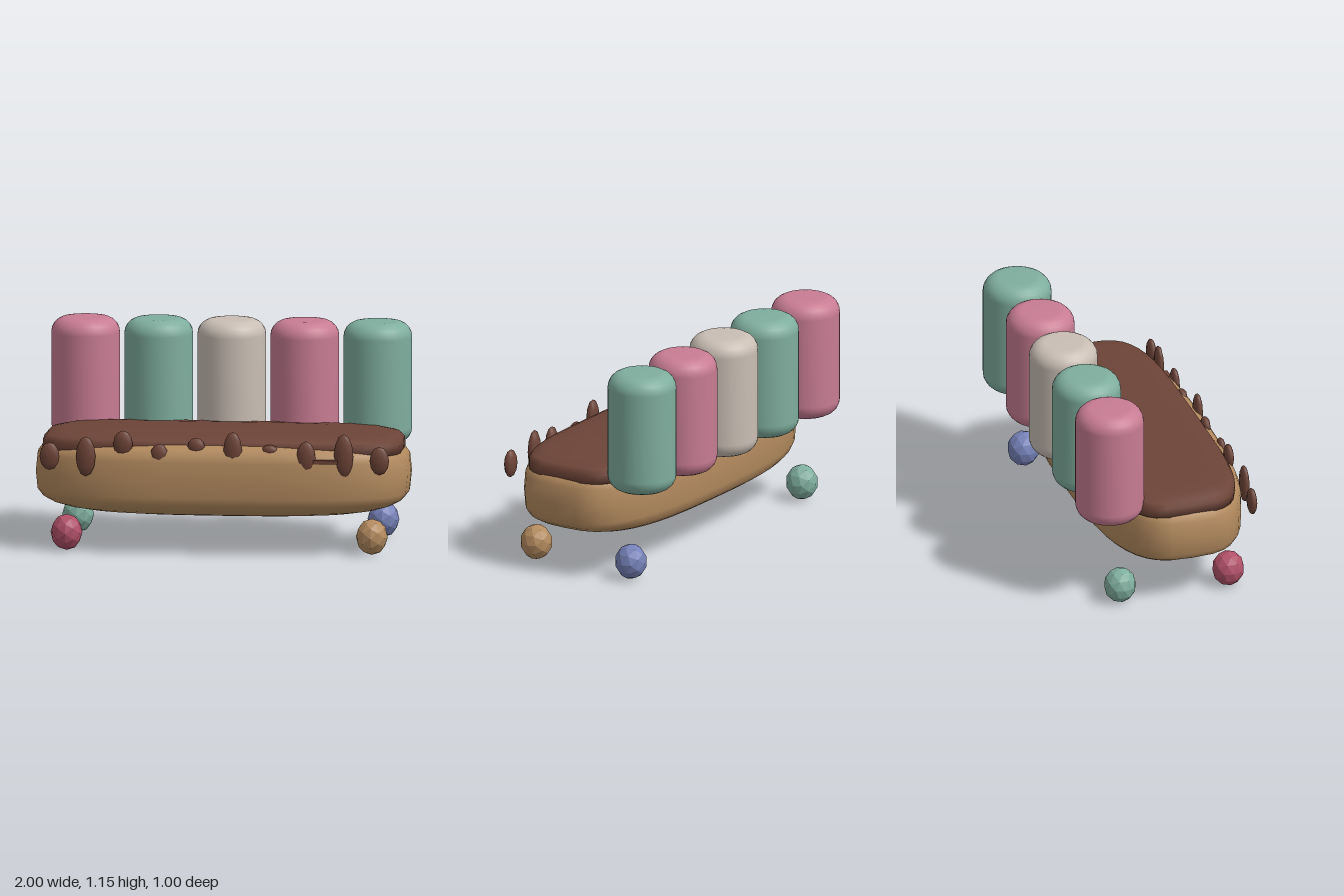
import * as THREE from 'three';

const mat = (name, color) => {
  const m = new THREE.MeshStandardMaterial({ color });
  m.name = name;
  return m;
};

// Superellipse rings [y, halfX, halfZ], bottom to top, skinned into one surface
function loft(rings, n, seg = 40) {
  const pos = [], idx = [];
  const pw = (v) => Math.sign(v) * Math.abs(v) ** (2 / n);
  rings.forEach(([y, rx, rz]) => {
    for (let j = 0; j < seg; j++) {
      const a = (j / seg) * Math.PI * 2;
      pos.push(rx * pw(Math.cos(a)), y, rz * pw(Math.sin(a)));
    }
  });
  for (let i = 0; i < rings.length - 1; i++) {
    for (let j = 0; j < seg; j++) {
      const k = (j + 1) % seg;
      const a = i * seg + j, b = i * seg + k, c = a + seg, d = b + seg;
      idx.push(a, c, b, b, c, d);
    }
  }
  const g = new THREE.BufferGeometry();
  g.setAttribute('position', new THREE.Float32BufferAttribute(pos, 3));
  g.setIndex(idx);
  g.computeVertexNormals();
  return g;
}

export function createModel() {
  const group = new THREE.Group();
  const pastry = mat('pastry tan', 0xb48b5f);
  const chocolate = mat('chocolate', 0x6d4438);
  const pink = mat('pink', 0xc87c93);
  const green = mat('mint green', 0x7fae9e);
  const cream = mat('cream', 0xc9beb4);
  const red = mat('berry red', 0xb05068);
  const blue = mat('blue', 0x7682b8);

  const add = (name, geo, material, x = 0, y = 0, z = 0) => {
    const m = new THREE.Mesh(geo, material);
    m.name = name;
    m.position.set(x, y, z);
    group.add(m);
    return m;
  };

  // Pastry seat: squarish puffed loaf
  const seatRings = [];
  for (let i = 0; i <= 16; i++) {
    const t = (i / 16 - 0.5) * Math.PI;
    const s = Math.sin(t);
    const r = Math.sqrt(Math.max(0, Math.cos(t)));
    seatRings.push([0.405 + 0.215 * Math.sign(s) * Math.sqrt(Math.abs(s)), r, 0.41 * r]);
  }
  add('seat', loft(seatRings, 3), pastry, 0, 0, 0.09);

  // Chocolate glaze over the seat
  add('glaze', loft([
    [0.52, 0.9, 0.3], [0.53, 0.962, 0.345], [0.58, 0.957, 0.35], [0.605, 0.935, 0.335],
    [0.622, 0.86, 0.295], [0.63, 0.65, 0.2], [0.633, 0, 0],
  ], 4), chocolate, 0, 0, 0.083);

  // Backrest: five rounded sweets
  const profile = [new THREE.Vector2(0, 0)];
  for (let i = 0; i <= 5; i++) {
    const a = (i / 5) * Math.PI / 2;
    profile.push(new THREE.Vector2(0.1 + 0.083 * Math.sin(a), 0.083 - 0.083 * Math.cos(a)));
  }
  for (let i = 5; i >= 0; i--) {
    const a = (i / 5) * Math.PI / 2;
    profile.push(new THREE.Vector2(0.1 + 0.083 * Math.sin(a), 0.567 + 0.083 * Math.cos(a)));
  }
  profile.push(new THREE.Vector2(0, 0.65));
  const roll = new THREE.LatheGeometry(profile, 32);
  [pink, green, cream, pink, green].forEach((m, i) =>
    add('backRoll' + (i + 1), roll, m, (i - 2) * 0.39, 0.503, -0.317));

  // Chocolate drips along the front: x, y, half width, half height
  const drop = new THREE.SphereGeometry(1, 8, 6);
  [
    [-0.895, 0.52, 0.053, 0.075], [-0.7, 0.525, 0.053, 0.107], [-0.503, 0.593, 0.052, 0.07],
    [-0.307, 0.535, 0.048, 0.064], [-0.112, 0.583, 0.046, 0.048], [0.085, 0.567, 0.05, 0.102],
    [0.28, 0.567, 0.043, 0.033], [0.476, 0.535, 0.051, 0.09], [0.675, 0.545, 0.052, 0.118],
    [0.868, 0.525, 0.052, 0.077],
  ].forEach(([x, y, rx, ry], i) =>
    add('drip' + (i + 1), drop, chocolate, x, y, i % 2 ? 0.463 : 0.441).scale.set(rx, ry, 0.026));

  // Small smear of chocolate joining two drips
  add('smear', new THREE.BoxGeometry(0.13, 0.02, 0.03), chocolate, 0.58, 0.515, 0.463);

  // Faceted candy feet
  const foot = new THREE.IcosahedronGeometry(1, 1);
  foot.computeVertexNormals();
  [
    ['frontRightFoot', -0.815, 0.335, red], ['frontLeftFoot', 0.815, 0.335, pastry],
    ['backRightFoot', -0.815, -0.27, green], ['backLeftFoot', 0.815, -0.27, blue],
  ].forEach(([name, x, z, m]) =>
    add(name, foot, m, x, 0.097, z).scale.set(0.085, 0.097, 0.087));

  return group;
}
